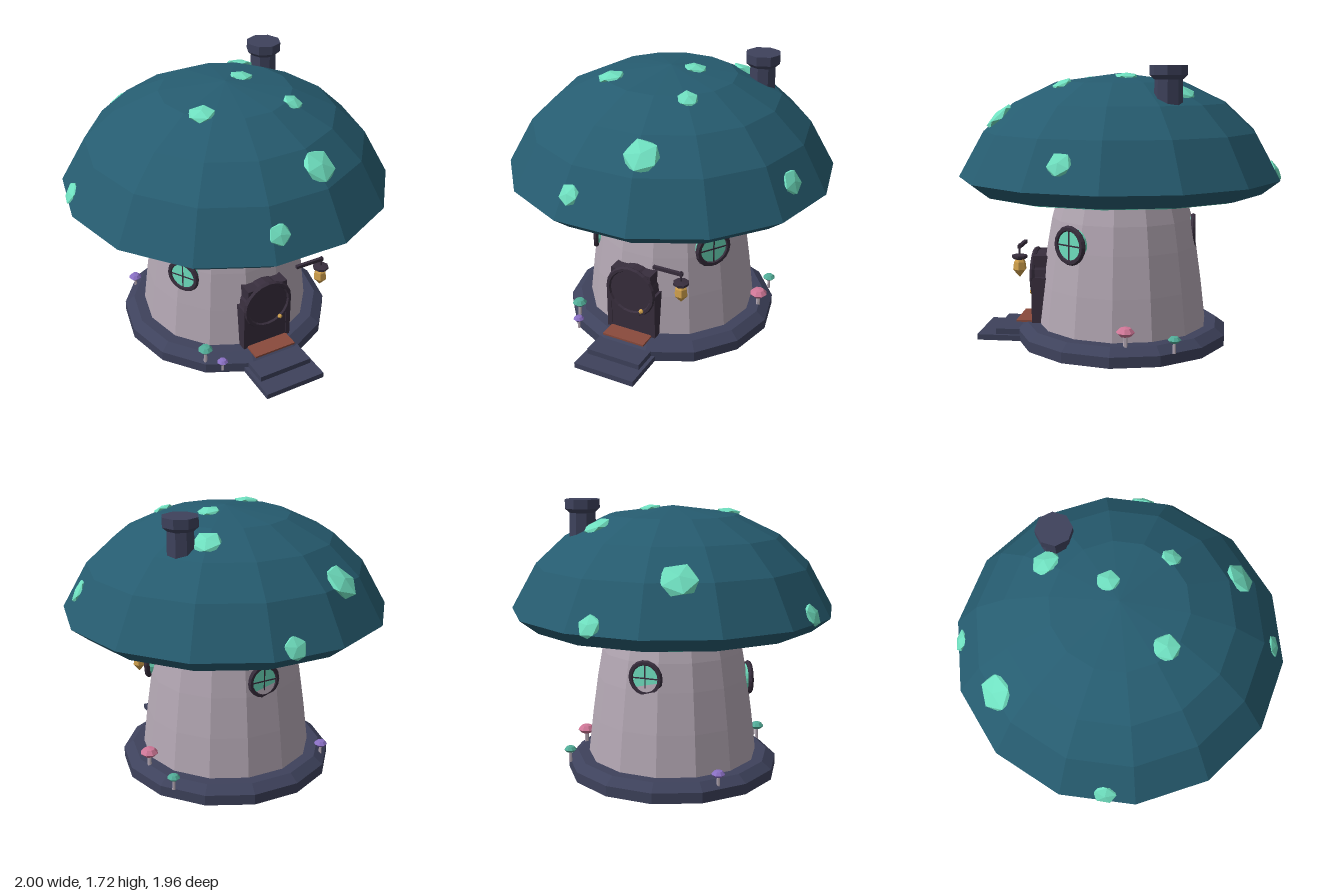
import * as THREE from 'three';

const mat = (name, color) => {
  const m = new THREE.MeshStandardMaterial({ color, flatShading: true });
  m.name = name;
  return m;
};

export function createModel() {
  const capTeal = mat('cap teal', 0x265c70);
  const mint = mat('glowing mint', 0x6fe0c0);
  const gillGreen = mat('gill green', 0x52ad98);
  const plaster = mat('pale plaster', 0xb3a7b3);
  const stone = mat('slate stone', 0x3e425c);
  const wood = mat('dark wood', 0x382e3d);
  const brick = mat('brick red', 0x8a4a3c);
  const amber = mat('amber', 0xd0a04c);
  const pink = mat('pink', 0xcf7797);
  const purple = mat('purple', 0x8a70c4);

  const model = new THREE.Group();
  const add = (name, geo, material, pos = [0, 0, 0], parent = model) => {
    const mesh = new THREE.Mesh(geo, material);
    mesh.name = name;
    mesh.position.set(...pos);
    parent.add(mesh);
    return mesh;
  };
  const box = (name, material, x0, x1, y0, y1, z0, z1) =>
    add(name, new THREE.BoxGeometry(x1 - x0, y1 - y0, z1 - z0), material,
      [(x0 + x1) / 2, (y0 + y1) / 2, (z0 + z1) / 2]);
  // profile is listed from the bottom up as [radius, height]
  const lathe = (profile, sides = 14) =>
    new THREE.LatheGeometry(profile.map(p => new THREE.Vector2(...p)), sides, Math.PI / 2);

  // Base, tower wall, gills and cap
  add('base', lathe([[0, 0], [0.665, 0], [0.665, 0.065], [0.605, 0.11], [0, 0.11]]), stone);
  add('wall', lathe([[0.535, 0.1], [0.505, 0.36], [0.47, 0.61], [0.44, 0.78], [0.395, 0.94]]), plaster);
  add('gills', lathe([[0, 0.916], [0.45, 0.918], [0.85, 0.945], [0.85, 0.958]]), gillGreen, [0, 0, 0.01]);
  const capProfile = [[0, 0.955], [0.89, 0.955], [1, 1.04], [0.845, 1.318], [0.66, 1.49], [0.395, 1.617], [0, 1.67]];
  add('cap', lathe(capProfile), capTeal, [0, 0, 0.01]);

  // Cap spots: flattened icosahedra with one corner pointing out of the cap
  const up = new THREE.Vector3(0, 1, 0);
  const spotGeo = new THREE.IcosahedronGeometry(1, 0);
  spotGeo.applyQuaternion(new THREE.Quaternion().setFromUnitVectors(
    new THREE.Vector3(0, 1, (1 + Math.sqrt(5)) / 2).normalize(), up));
  const upper = capProfile.slice(2);
  const spots = [
    [-0.35, -0.72, 0.12], [0.32, -0.38, 0.095], [0.135, -0.04, 0.075], [-0.275, 0.24, 0.085],
    [0.265, 0.33, 0.065], [0.19, 0.73, 0.11], [-0.165, 0.91, 0.07], [0.865, 0.24, 0.08],
    [-0.935, -0.16, 0.075], [0.08, -0.94, 0.075],
  ];
  spots.forEach(([x, z, r]) => {
    const az = Math.atan2(x, z);
    // distance measured to the flat faces of the 14-sided cap
    const step = Math.PI / 7;
    const off = ((az - Math.PI / 2) % step + step) % step - step / 2;
    const d = Math.hypot(x, z - 0.01) * Math.cos(off) / Math.cos(step / 2);
    let i = upper.findIndex((p, k) => k > 0 && d >= p[0]);
    if (i < 1) i = 1;
    const [r0, y0] = upper[i - 1], [r1, y1] = upper[i];
    const y = y0 + (y1 - y0) * (r0 - d) / (r0 - r1);
    const normal = new THREE.Vector3(Math.sin(az) * (y1 - y0), r0 - r1, Math.cos(az) * (y1 - y0)).normalize();
    const spot = add('capSpot', spotGeo, mint, [x, y, z]);
    spot.scale.set(r, r * 0.3, r);
    spot.quaternion.setFromUnitVectors(up, normal);
  });

  // Chimney
  add('chimneyStack', lathe([[0.085, 1.42], [0.08, 1.66]], 8), stone, [0.45, 0, -0.315]);
  add('chimneyTop', lathe([[0, 1.635], [0.08, 1.635], [0.108, 1.66], [0.108, 1.715], [0, 1.715]], 8), stone, [0.45, 0, -0.315]);

  // Round windows: frame, glass and crossed bars
  const windows = [[0.41, 0.66, 0.265, 0.98], [-0.42, 0.57, 0.25, -1.02], [-0.02, 0.69, -0.445, Math.PI + 0.04]];
  windows.forEach(([x, y, z, angle], i) => {
    const g = new THREE.Group();
    g.name = 'window';
    g.position.set(x, y, z);
    g.rotation.y = angle;
    g.scale.setScalar(i === 0 ? 1.06 : 0.96);
    model.add(g);
    add('windowFrame', new THREE.TorusGeometry(0.096, 0.018, 6, 18), wood, [0, 0, 0], g);
    const glass = add('windowGlass', new THREE.CylinderGeometry(0.092, 0.092, 0.05, 18), mint, [0, 0, -0.018], g);
    glass.rotation.x = Math.PI / 2;
    add('windowBar', new THREE.BoxGeometry(0.18, 0.008, 0.006), wood, [0, 0, 0.007], g);
    add('windowBar', new THREE.BoxGeometry(0.008, 0.18, 0.006), wood, [0, 0, 0.007], g);
  });

  // Door with round surround, knob, threshold and steps
  box('door', wood, -0.135, 0.135, 0.11, 0.535, 0.4, 0.55);
  for (const s of [-1, 1]) box('doorJamb', wood, s * 0.15 - 0.015, s * 0.15 + 0.015, 0.11, 0.4, 0.42, 0.555);
  const panel = add('doorPanel', new THREE.CylinderGeometry(0.15, 0.15, 0.1, 20), wood, [0, 0.4, 0.505]);
  panel.rotation.x = Math.PI / 2;
  add('doorRing', new THREE.TorusGeometry(0.151, 0.017, 6, 20), wood, [0, 0.4, 0.552]);
  add('doorKnob', new THREE.IcosahedronGeometry(0.016, 0), amber, [0.08, 0.29, 0.57]);
  box('threshold', brick, -0.14, 0.14, 0.108, 0.12, 0.52, 0.66);
  box('lowerStep', stone, -0.2, 0.2, 0, 0.035, 0.5, 0.9);
  box('upperStep', stone, -0.178, 0.178, 0, 0.07, 0.5, 0.785);

  // Hanging lantern
  box('lanternArm', wood, 0.175, 0.365, 0.627, 0.647, 0.572, 0.592);
  add('lanternRod', new THREE.CylinderGeometry(0.006, 0.006, 0.08, 6), wood, [0.355, 0.615, 0.582]);
  add('lanternLid', lathe([[0, 0.562], [0.035, 0.562], [0.048, 0.572], [0.048, 0.585], [0, 0.592]], 8), wood, [0.355, 0, 0.582]);
  add('lanternLamp', lathe([[0, 0.45], [0.042, 0.5], [0.036, 0.545], [0.022, 0.565]], 6), amber, [0.355, 0, 0.582]);

  // Little mushrooms around the base: x, cap height, z, radius, colour
  const sprouts = [
    [-0.405, 0.17, 0.5, 0.046, gillGreen], [-0.345, 0.132, 0.61, 0.034, purple],
    [0.58, 0.193, -0.085, 0.056, pink], [0.545, 0.147, -0.365, 0.04, gillGreen],
    [-0.47, 0.15, -0.41, 0.042, purple],
  ];
  const sproutCap = lathe([[0, -0.4], [0.6, -0.4], [1, 0], [0.6, 0.45], [0, 0.55]], 8);
  sprouts.forEach(([x, y, z, r, material]) => {
    add('sproutStem', new THREE.CylinderGeometry(r * 0.2, r * 0.26, y - 0.065, 6), plaster, [x, (y + 0.065) / 2, z]);
    add('sproutCap', sproutCap, material, [x, y, z]).scale.setScalar(r);
  });
  return model;
}
